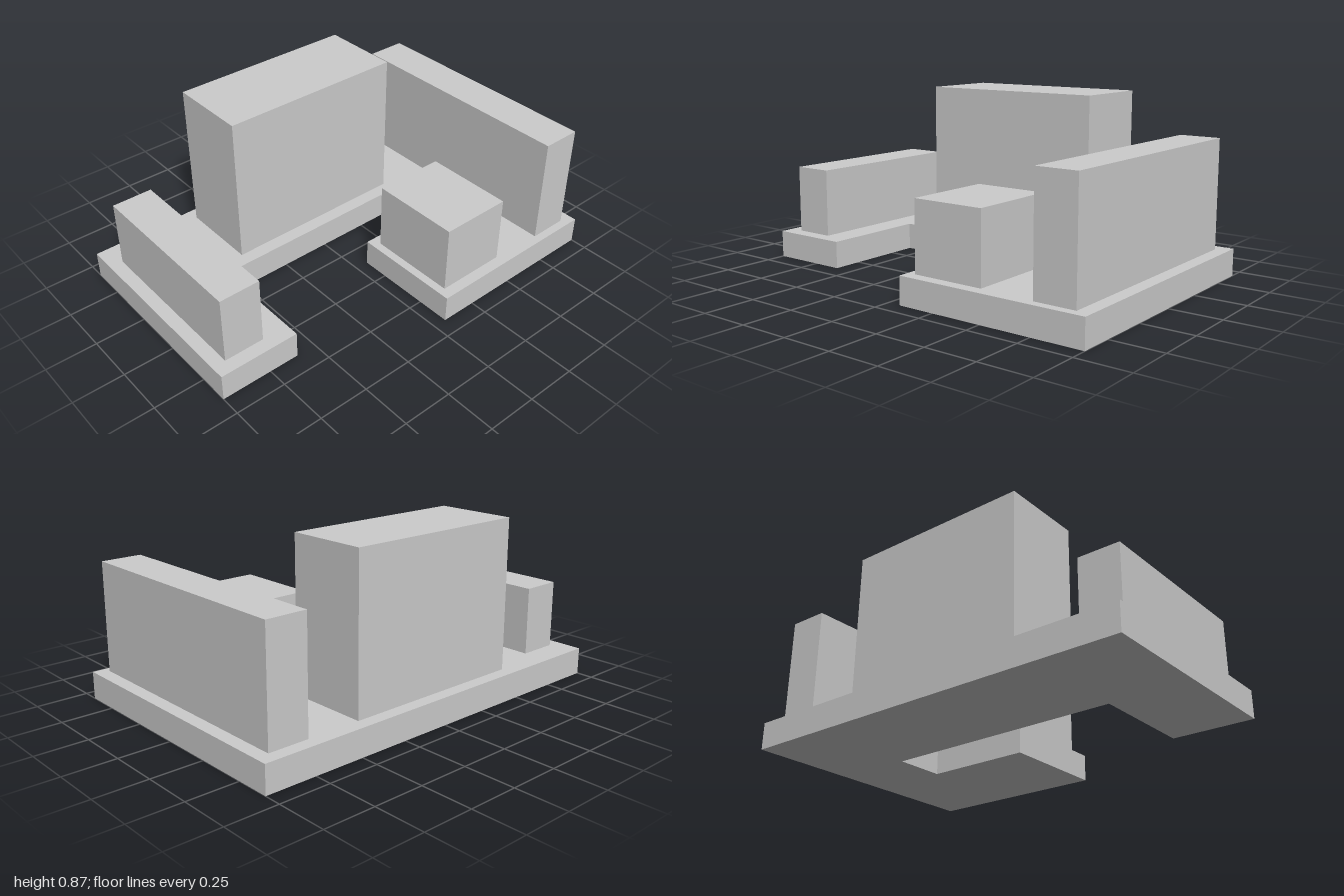
import * as THREE from 'three';

const BASE_HEIGHT = 0.133;

export function createModel() {
  const model = new THREE.Group();
  model.name = 'buildingComplex';
  const material = new THREE.MeshStandardMaterial({ color: 0xcccccc, flatShading: true });

  // Hooked ground slab: outline as [x, z], extruded upwards
  const outline = [
    [-0.667, 1], [0.4, 1], [0.4, 0.6], [-0.135, 0.6], [-0.135, -0.6],
    [0.117, -0.6], [0.117, -0.068], [0.667, -0.068], [0.667, -1], [-0.667, -1],
  ];
  const shape = new THREE.Shape(outline.map(([x, z]) => new THREE.Vector2(x, -z)));
  const slabGeometry = new THREE.ExtrudeGeometry(shape, { depth: BASE_HEIGHT, bevelEnabled: false });
  slabGeometry.rotateX(-Math.PI / 2);
  const slab = new THREE.Mesh(slabGeometry, material);
  slab.name = 'baseSlab';
  model.add(slab);

  // Block standing on the slab, given by its extents
  function addBlock(name, x0, x1, z0, z1, top) {
    const height = top - BASE_HEIGHT;
    const block = new THREE.Mesh(new THREE.BoxGeometry(x1 - x0, height, z1 - z0), material);
    block.name = name;
    block.position.set((x0 + x1) / 2, BASE_HEIGHT + height / 2, (z0 + z1) / 2);
    model.add(block);
  }

  addBlock('backBlock', -0.603, 0.625, -0.935, -0.735, 0.667);
  addBlock('tallBlock', -0.603, -0.203, -0.467, 0.465, 0.867);
  addBlock('smallBlock', 0.167, 0.611, -0.467, -0.109, 0.467);
  addBlock('frontBlock', -0.535, 0.331, 0.733, 0.933, 0.467);

  return model;
}
